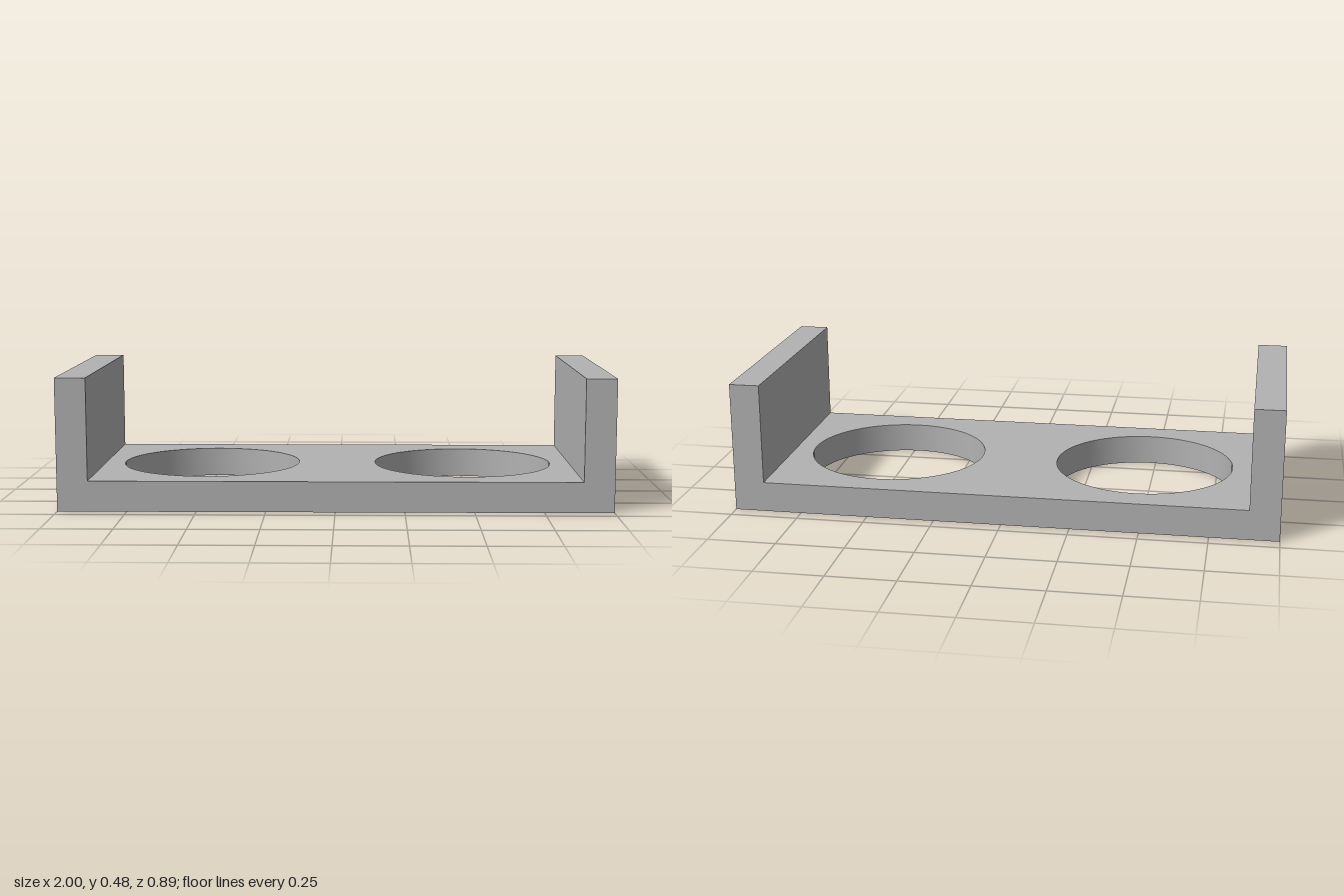
import * as THREE from 'three';
import { toCreasedNormals } from 'three/addons/utils/BufferGeometryUtils.js';

const WIDTH = 2, DEPTH = 0.888, HEIGHT = 0.483, THICK = 0.111;
const HOLE_X = 0.481, HOLE_R = 0.335;

export function createModel() {
  const model = new THREE.Group();
  model.name = 'twoHoleBracket';
  const grey = new THREE.MeshStandardMaterial({ color: 0xb2b2b2 });
  grey.name = 'grey';

  // Base plate between the end walls, with two round holes
  const half = WIDTH / 2 - THICK;
  const outline = new THREE.Shape([
    new THREE.Vector2(-half, -DEPTH / 2),
    new THREE.Vector2(half, -DEPTH / 2),
    new THREE.Vector2(half, DEPTH / 2),
    new THREE.Vector2(-half, DEPTH / 2),
  ]);
  for (const side of [-1, 1]) {
    outline.holes.push(new THREE.Path().absarc(side * HOLE_X, 0, HOLE_R, 0, Math.PI * 2, true));
  }
  const plate = new THREE.ExtrudeGeometry(outline, { depth: THICK, bevelEnabled: false, curveSegments: 64 });
  plate.rotateX(-Math.PI / 2);
  const base = new THREE.Mesh(toCreasedNormals(plate, 0.5), grey);
  base.name = 'basePlate';
  model.add(base);

  // Upright walls at both ends
  const wallGeometry = new THREE.BoxGeometry(THICK, HEIGHT, DEPTH);
  for (const side of [-1, 1]) {
    const wall = new THREE.Mesh(wallGeometry, grey);
    wall.name = side > 0 ? 'leftWall' : 'rightWall';
    wall.position.set(side * (WIDTH - THICK) / 2, HEIGHT / 2, 0);
    model.add(wall);
  }
  return model;
}
